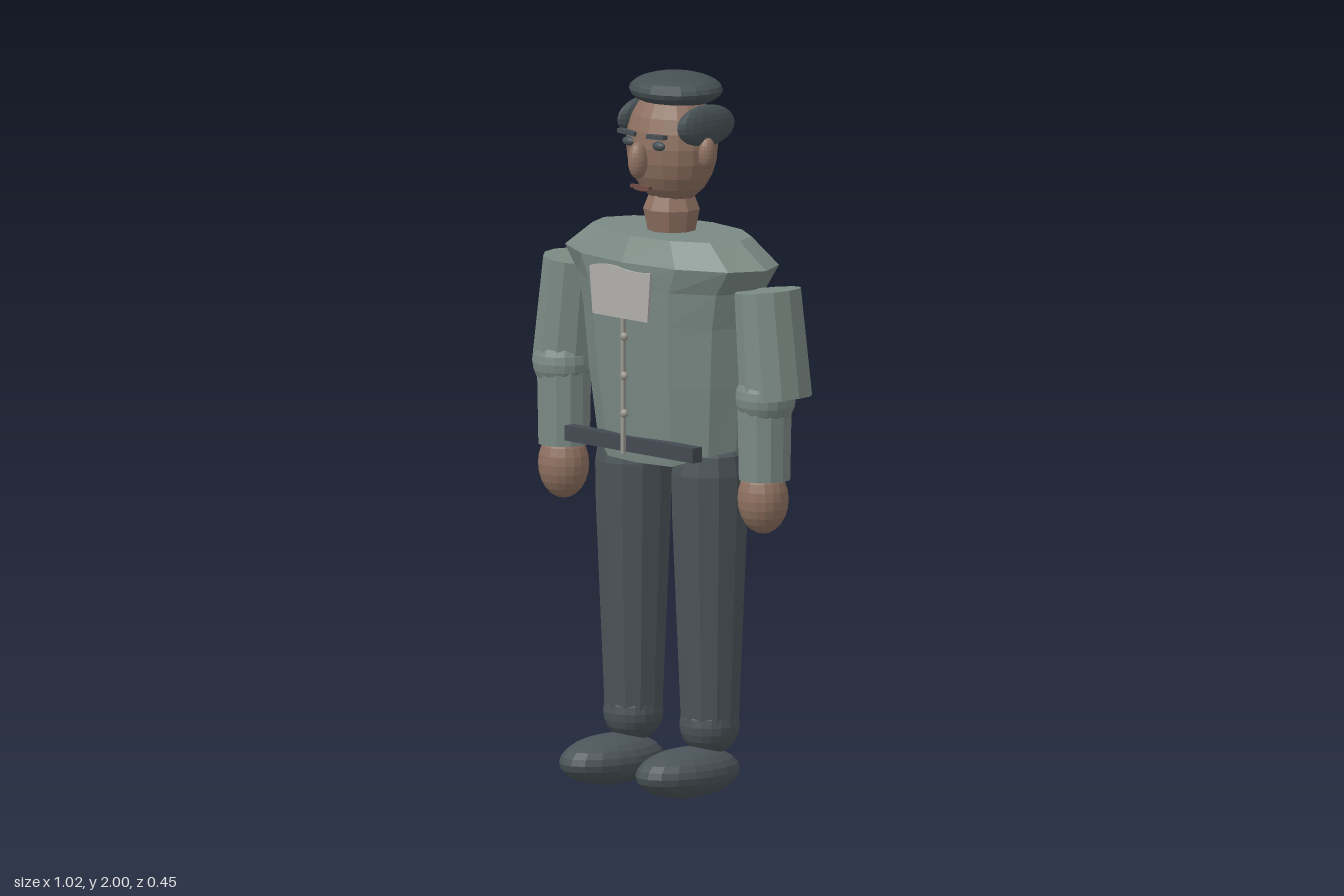
import * as THREE from 'three';

const mat = (name, color) => {
  const m = new THREE.MeshStandardMaterial({ color, flatShading: true });
  m.name = name;
  return m;
};

export function createModel() {
  const model = new THREE.Group();
  model.name = 'standingMan';

  const jacket = mat('jacketGreen', 0x7b8a84);
  const trousers = mat('trouserGrey', 0x4b5459);
  const hair = mat('hairDark', 0x465054);
  const skin = mat('skin', 0x8f7161);
  const shirt = mat('shirtLight', 0xb0aeaa);
  const belt = mat('beltDark', 0x434a51);
  const lip = mat('lip', 0x6f4c44);
  const metal = mat('buttonGrey', 0x9a9690);

  const add = (name, geo, material, x, y, z, parent = model) => {
    const m = new THREE.Mesh(geo, material);
    m.name = name;
    m.position.set(x, y, z);
    parent.add(m);
    return m;
  };
  const ellipsoid = (name, material, [x, y, z], [rx, ry, rz], parent) =>
    add(name, new THREE.SphereGeometry(1, 18, 12).scale(rx, ry, rz), material, x, y, z, parent);
  const box = (name, material, [x, y, z], [w, h, d], parent) =>
    add(name, new THREE.BoxGeometry(w, h, d), material, x, y, z, parent);

  // Jacket body: twelve-sided rings from shoulders to hem [y, rx, rz]
  const rings = [
    [1.56, 0.272, 0.158], [1.49, 0.378, 0.193], [1.42, 0.32, 0.19],
    [1.32, 0.297, 0.183], [1.15, 0.28, 0.168], [0.925, 0.255, 0.142],
  ];
  const body = new THREE.CylinderGeometry(1, 1, 1, 12, rings.length - 1);
  const p = body.attributes.position;
  for (let i = 0; i < p.count; i++) {
    const row = Math.round((0.5 - p.getY(i)) * (rings.length - 1));
    const [y, rx, rz] = rings[row];
    // The hem rises a little over the hips
    const lift = row === rings.length - 1 ? 0.09 * Math.max(0, Math.abs(p.getX(i)) - 0.5) : 0;
    p.setXYZ(i, p.getX(i) * rx, y + lift, p.getZ(i) * rz);
  }
  body.computeVertexNormals();
  add('jacketBody', body, jacket, 0, 0, -0.033);

  // Shirt panel with a slightly wavy top edge
  const panel = new THREE.Shape();
  panel.moveTo(-0.11, 1.335);
  panel.lineTo(0.11, 1.335);
  panel.lineTo(0.122, 1.475);
  panel.quadraticCurveTo(0.06, 1.465, 0, 1.475);
  panel.quadraticCurveTo(-0.06, 1.485, -0.122, 1.468);
  panel.closePath();
  add('shirtPanel', new THREE.ExtrudeGeometry(panel, { depth: 0.008, bevelEnabled: false }), shirt, 0, 0, 0.157);

  // Front closure, buttons and belt
  box('placket', metal, [0.003, 1.15, 0.155], [0.012, 0.39, 0.01]);
  for (const y of [1.285, 1.175, 1.07]) ellipsoid('button', metal, [0.017, y, 0.165], [0.012, 0.012, 0.01]);
  box('belt', belt, [0, 0.977, 0.114], [0.515, 0.042, 0.036]);

  // Neck and head
  add('neck', new THREE.CylinderGeometry(0.08, 0.065, 0.07, 9), skin, 0, 1.585, -0.033);
  add('upperNeck', new THREE.CylinderGeometry(0.06, 0.08, 0.05, 9), skin, 0, 1.645, -0.033);
  const head = new THREE.Group();
  head.name = 'head';
  model.add(head);
  ellipsoid('skull', skin, [0, 1.8, -0.033], [0.137, 0.167, 0.118], head);
  ellipsoid('hairCap', hair, [0, 1.952, -0.048], [0.137, 0.048, 0.124], head);
  ellipsoid('nose', skin, [0, 1.767, 0.096], [0.026, 0.051, 0.03], head);
  box('mouth', lip, [0, 1.692, 0.085], [0.075, 0.009, 0.012], head);
  ellipsoid('lowerLip', lip, [0, 1.685, 0.083], [0.032, 0.006, 0.007], head);

  // Mirrored parts
  for (const s of [-1, 1]) {
    const side = s > 0 ? 'left' : 'right';
    ellipsoid(side + 'Ear', skin, [s * 0.14, 1.79, -0.033], [0.024, 0.045, 0.026], head);
    const lock = ellipsoid(side + 'SideHair', hair, [s * 0.12, 1.863, -0.048], [0.028, 0.058, 0.106], head);
    lock.rotation.z = s * 0.08;
    ellipsoid(side + 'Eye', hair, [s * 0.06, 1.812, 0.074], [0.023, 0.013, 0.012], head);
    const brow = box(side + 'Brow', hair, [s * 0.058, 1.838, 0.08], [0.068, 0.012, 0.018], head);
    brow.rotation.z = s * 0.05;

    // Arm
    const arm = new THREE.Group();
    arm.name = side + 'Arm';
    model.add(arm);
    const upper = add('upperArm', new THREE.CylinderGeometry(0.087, 0.095, 0.3, 12).scale(1, 1, 1.13),
      jacket, s * 0.4, 1.288, -0.033, arm);
    upper.rotation.z = s * 0.11;
    ellipsoid('elbow', jacket, [s * 0.407, 1.143, -0.003], [0.085, 0.085, 0.083], arm);
    add('forearm', new THREE.CylinderGeometry(0.077, 0.073, 0.22, 12), jacket, s * 0.402, 1.025, -0.004, arm);
    ellipsoid('hand', skin, [s * 0.4, 0.86, 0], [0.072, 0.097, 0.07], arm);

    // Leg
    const leg = new THREE.Group();
    leg.name = side + 'Leg';
    model.add(leg);
    const profile = [[0, 0.985], [0.07, 0.98], [0.1, 0.955], [0.109, 0.9], [0.107, 0.78], [0.082, 0.2], [0, 0.2]]
      .reverse().map(([r, y]) => new THREE.Vector2(r, y));
    add('trouserLeg', new THREE.LatheGeometry(profile, 12), trousers, s * 0.153, 0, -0.032, leg);
    ellipsoid('ankle', trousers, [s * 0.153, 0.195, -0.031], [0.084, 0.084, 0.084], leg);
    ellipsoid('shoe', trousers, [s * 0.153, 0.07, 0.052], [0.104, 0.07, 0.173], leg);
  }

  return model;
}
